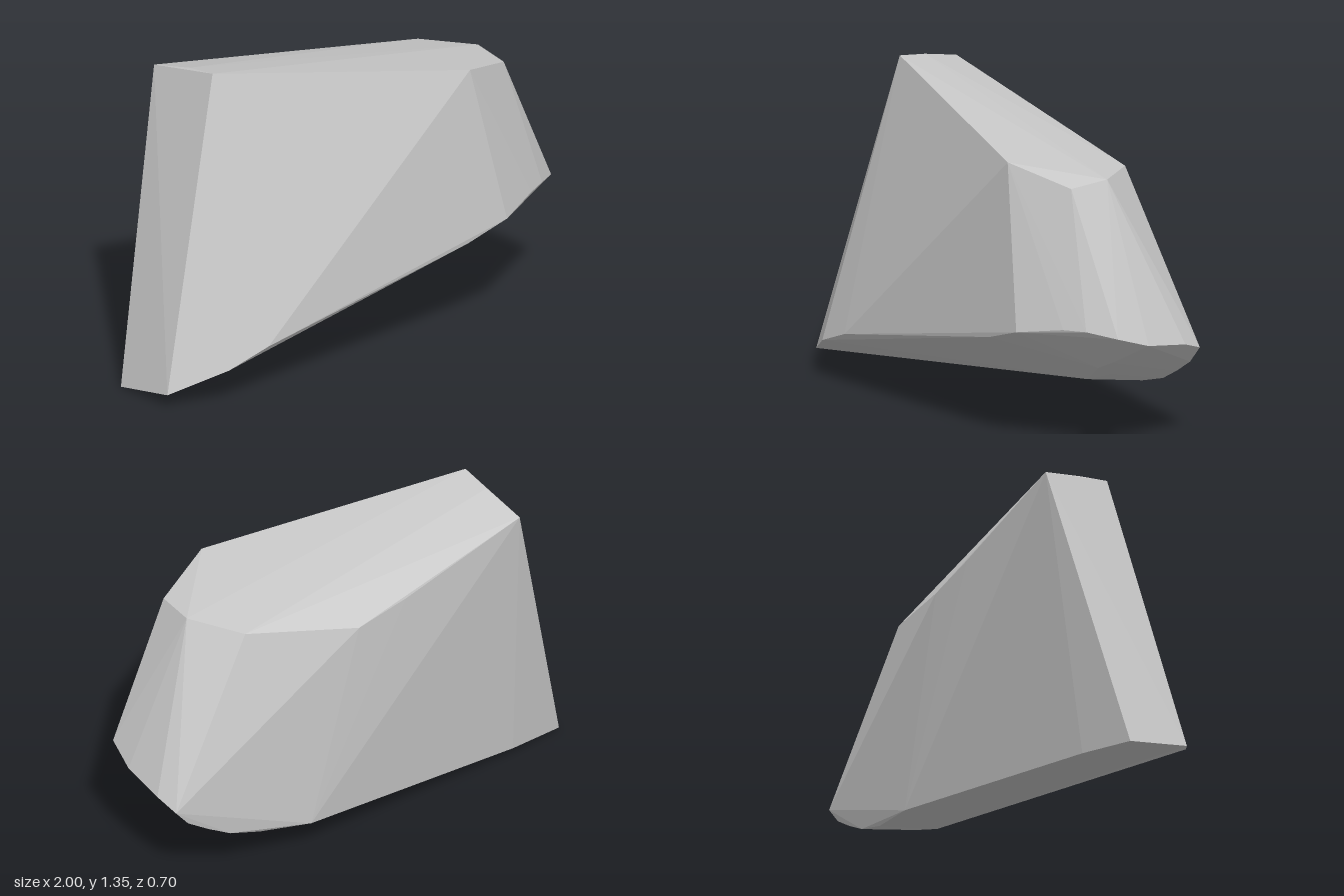
import * as THREE from 'three';
import { ConvexGeometry } from 'three/addons/geometries/ConvexGeometry.js';

export function createModel() {
  const group = new THREE.Group();
  group.name = 'rock';
  const stone = new THREE.MeshStandardMaterial({ color: 0xc8c8c8 });
  stone.name = 'grey stone';
  stone.flatShading = true;

  // Rim of the sloping top
  const top = [
    [-0.63, 1.345, 0.01], [-0.645, 1.325, -0.13], [-0.685, 1.28, -0.322],
    [0.46, 1.18, 0.29], [0.72, 1.103, 0.163], [0.722, 1.113, -0.02], [0.57, 1.103, -0.228],
  ];
  // Upper edge of the back face
  const back = [[0.1, 1.035, -0.35], [-0.125, 1.095, -0.345]];
  // Belt where the sides meet the underside
  const belt = [
    [-0.975, 0.06, 0.175], [-0.76, 0.163, 0.308], [-0.58, 0.232, 0.332],
    [0.41, 0.44, 0.347], [0.6, 0.503, 0.353], [0.79, 0.538, 0.258], [0.88, 0.54, 0.208],
    [0.985, 0.518, 0.125], [1, 0.47, -0.02], [0.985, 0.44, -0.22], [0.955, 0.405, -0.317],
  ];
  // Underside, rounded towards the blunt end
  const bottom = [
    [-1, 0, -0.115], [-0.74, 0.03, -0.18], [0.33, 0.15, -0.352],
    [0.56, 0.177, -0.325], [0.7, 0.218, -0.323], [0.8, 0.272, -0.317], [0.895, 0.332, -0.313],
    [0.54, 0.222, -0.06], [0.7, 0.28, -0.06], [0.74, 0.33, 0.04], [0.84, 0.375, 0.04],
    [0.72, 0.39, 0.125],
  ];

  const points = [...top, ...back, ...belt, ...bottom].map((p) => new THREE.Vector3(...p));
  const boulder = new THREE.Mesh(new ConvexGeometry(points), stone);
  boulder.name = 'boulder';
  group.add(boulder);
  return group;
}
